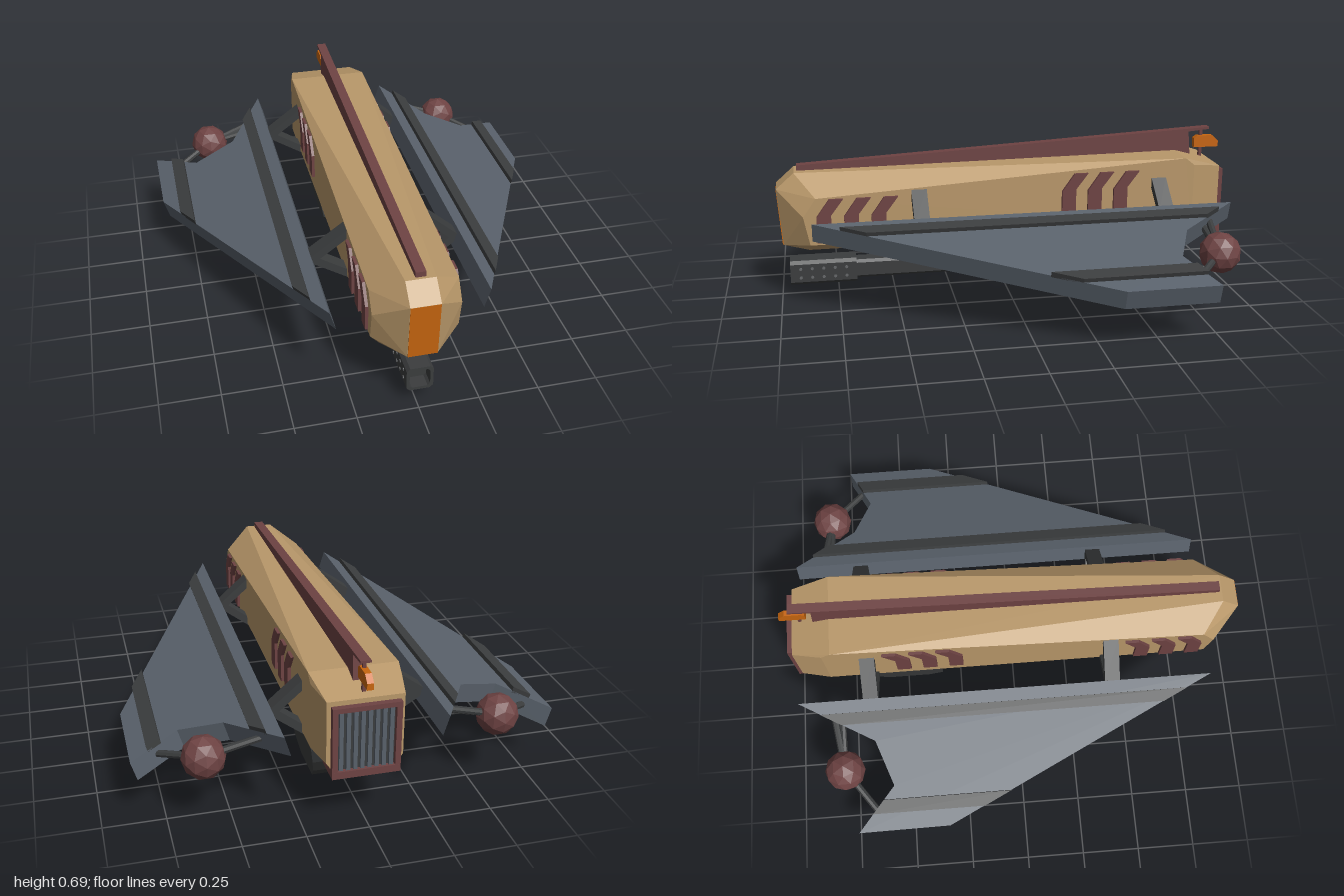
import * as THREE from 'three';
import { ConvexGeometry } from 'three/addons/geometries/ConvexGeometry.js';

const mat = (color) => new THREE.MeshStandardMaterial({ color, flatShading: true });
const TAN = mat(0xb9986a), STEEL = mat(0x59616b), DARK = mat(0x3b3d3e);
const MAROON = mat(0x6e4343), ORANGE = mat(0xc8660f), STUD = mat(0x66686a);
const C = 0.013; // hull centre line

export function createModel() {
  const model = new THREE.Group();

  const add = (name, geo, material, parent = model) => {
    const mesh = new THREE.Mesh(geo, material);
    mesh.name = name;
    parent.add(mesh);
    return mesh;
  };
  const toShape = (pts) => new THREE.Shape(pts.map(([a, b]) => new THREE.Vector2(a, b)));
  const box = (name, w, h, d, x, y, z, material) =>
    add(name, new THREE.BoxGeometry(w, h, d).translate(x, y, z), material);
  // side profile given as [z, y], extruded across x
  const profile = (pts, width, cx) =>
    new THREE.ExtrudeGeometry(toShape(pts), { depth: width, bevelEnabled: false })
      .rotateY(-Math.PI / 2).translate(cx + width / 2, 0, 0);
  // plan outline given as [x, z], extruded down from y = top
  const plan = (pts, depth, top) =>
    new THREE.ExtrudeGeometry(toShape(pts), { depth, bevelEnabled: false })
      .rotateX(Math.PI / 2).translate(0, top, 0);
  // bar between two points: round (many sides) or square (4 sides)
  const bar = (name, a, b, geo, material) => {
    const va = new THREE.Vector3(...a), vb = new THREE.Vector3(...b);
    const mesh = add(name, geo(va.distanceTo(vb)), material);
    mesh.position.copy(va).add(vb).multiplyScalar(0.5);
    mesh.quaternion.setFromUnitVectors(new THREE.Vector3(0, 1, 0), vb.sub(va).normalize());
  };

  // Hull: faceted body whose top chamfer fades out toward the tail
  const half = [
    [0.061, 0.506, 1.0], [0.061, 0.255, 0.98], [0.061, 0.575, 0.922],
    [0.18, 0.49, 0.835], [0.18, 0.41, 0.89], [0.18, 0.285, 0.865], [0.148, 0.255, 0.87],
    [0.18, 0.592, -0.79], [0.18, 0.56, -0.83], [0.18, 0.285, -0.83], [0.148, 0.255, -0.83],
    [0.152, 0.545, -0.957], [0.152, 0.285, -0.957], [0.13, 0.255, -0.957],
  ];
  const hullPts = [];
  for (const s of [1, -1]) for (const [x, y, z] of half) hullPts.push(new THREE.Vector3(C + s * x, y, z));
  add('hull', new ConvexGeometry(hullPts), TAN);

  // Nose window
  add('noseWindow', profile([[0.975, 0.256], [0.983, 0.256], [1.0, 0.505], [0.99, 0.505]], 0.12, C)
    .translate(0, 0, 0.001), ORANGE);

  // Spine with overhanging tail end
  add('spine', profile([[0.91, 0.565], [0.91, 0.598], [-0.95, 0.694], [-0.95, 0.684],
    [-0.852, 0.676], [-0.862, 0.57]], 0.042, 0.016), MAROON);

  // Tail lamp on a post
  add('tailLamp', profile([[-0.885, 0.598], [-1.0, 0.598], [-1.0, 0.625], [-0.97, 0.652],
    [-0.9, 0.652], [-0.885, 0.64]], 0.026, C), ORANGE);
  box('lampPost', 0.014, 0.14, 0.014, C, 0.615, -0.918, MAROON);

  // Rear grille: frame, sill and vertical bars
  box('grilleBack', 0.25, 0.27, 0.01, C, 0.385, -0.958, DARK);
  for (const s of [1, -1]) box('grilleSide', 0.022, 0.3, 0.03, C + s * 0.124, 0.375, -0.967, MAROON);
  box('grilleTop', 0.27, 0.02, 0.03, C, 0.515, -0.967, MAROON);
  box('grilleSill', 0.27, 0.03, 0.135, C, 0.24, -0.915, MAROON);
  for (let i = 0; i < 8; i++) {
    box('grilleBar', 0.016, 0.25, 0.014, C + (i - 3.5) * 0.028, 0.38, -0.967, STEEL);
  }

  // Bent vent slats, three fore and three aft on each flank
  for (const s of [1, -1]) {
    for (const [z0, y0] of [[0.835, 0.297], [-0.227, 0.358]]) {
      for (let i = 0; i < 3; i++) {
        const z = z0 - i * 0.116;
        const pts = [[0, 0], [-0.062, 0], [-0.062, 0.12], [-0.115, 0.19], [-0.055, 0.19], [0, 0.112]];
        add('ventSlat', profile(pts.map(([a, b]) => [z + a, y0 + b]), 0.03, C + s * 0.178), MAROON);
      }
    }
  }

  // Wings, with slightly different trailing edges and mounts per side
  const tilt = Math.atan(0.3), root = 0.323;
  const sides = [
    { s: 1, rear: [[0.872, -0.72], [0.675, -0.62], [0.505, -0.695]], struts: [-0.667, 0.398], podZ: -0.806 },
    { s: -1, rear: [[0.875, -0.727], [0.69, -0.563], [0.5, -0.632]], struts: [-0.643, 0.423], podZ: -0.775 },
  ];
  for (const { s, rear, struts, podZ } of sides) {
    const wing = new THREE.Group();
    wing.name = s > 0 ? 'leftWing' : 'rightWing';
    wing.position.set(s * root, 0.42, 0);
    wing.rotation.z = -s * tilt;
    model.add(wing);
    const local = (pts) => pts.map(([x, z]) => [s * (x - root) / Math.cos(tilt), z]);
    const outline = [[root, -0.957], [root, 0.855], [0.872, -0.332], ...rear];
    add('wingPanel', plan(local(outline), 0.085, 0), STEEL, wing);

    // raised ribs trimmed to the wing outline
    const lerp = (x, [x0, z0], [x1, z1]) => z0 + (z1 - z0) * (x - x0) / (x1 - x0);
    const lead = (x) => lerp(x, outline[1], outline[2]);
    for (const [x0, x1, a, b] of [[0.375, 0.424, outline[0], rear[2]], [0.745, 0.8, rear[1], rear[0]]]) {
      const strip = [[x0, lead(x0)], [x1, lead(x1)], [x1, lerp(x1, a, b)], [x0, lerp(x0, a, b)]];
      add('wingRib', plan(local(strip), 0.025, 0.018), DARK, wing);
    }

    // V struts joining hull and wing
    for (const z of struts) {
      for (const y of [0.5, 0.285]) {
        bar('wingStrut', [C + s * 0.165, y, z], [s * 0.31, 0.385, z],
          (l) => new THREE.BoxGeometry(0.034, l, 0.066), DARK);
      }
    }

    // Faceted pod held by two rods behind the wing
    const pod = [s * 0.603, 0.293, podZ];
    const rod = (l) => new THREE.CylinderGeometry(0.015, 0.015, l, 8);
    add('pod', new THREE.IcosahedronGeometry(0.088, 1).translate(...pod), MAROON);
    bar('podRod', [s * 0.385, 0.362, podZ - 0.03], pod, rod, DARK);
    bar('podRod', [s * 0.38, 0.345, podZ + 0.0], pod, rod, DARK);
    bar('podRod', [s * 0.785, 0.24, -0.64], pod, rod, DARK);
  }

  // Turret under the hull, narrowing downward
  const turret = profile([[-0.335, 0.262], [-0.335, 0.05], [-0.4, 0.0], [-0.585, 0.0], [-0.635, 0.05],
    [-0.675, 0.115], [-0.7, 0.19], [-0.7, 0.262]], 1, 0);
  const p = turret.attributes.position;
  for (let i = 0; i < p.count; i++) p.setX(i, C - 0.002 + p.getX(i) * (0.22 + 0.36 * p.getY(i)));
  turret.computeVertexNormals();
  add('turret', turret, DARK);

  // Gun: collar, barrel and perforated open muzzle
  add('gunCollar', profile([[-0.34, 0.192], [-0.34, 0.045], [-0.27, 0.05], [-0.228, 0.1],
    [-0.228, 0.145], [-0.27, 0.187]], 0.185, C), MAROON);
  const square = (r, c) => [[-r + c, -r], [r - c, -r], [r, -r + c], [r, r - c],
    [r - c, r], [-r + c, r], [-r, r - c], [-r, -r + c]];
  const gunPart = (name, shape, z0, z1, material) =>
    add(name, new THREE.ExtrudeGeometry(shape, { depth: z1 - z0, bevelEnabled: false })
      .translate(C, 0.115, z0), material);
  gunPart('barrel', toShape(square(0.042, 0.012)), -0.25, 0.68, DARK);
  const ring = toShape(square(0.055, 0.014));
  ring.holes.push(toShape(square(0.042, 0.01)));
  gunPart('muzzle', ring, 0.67, 0.96, DARK);
  gunPart('muzzleCore', toShape(square(0.044, 0.01)), 0.671, 0.9, DARK);
  for (const s of [1, -1]) {
    for (let i = 0; i < 5; i++) {
      for (const y of [0.095, 0.135]) {
        add('muzzleStud', new THREE.CylinderGeometry(0.007, 0.007, 0.006, 8).rotateZ(Math.PI / 2)
          .translate(C + s * 0.055, y, 0.715 + i * 0.05), STUD);
      }
    }
  }
  return model;
}
